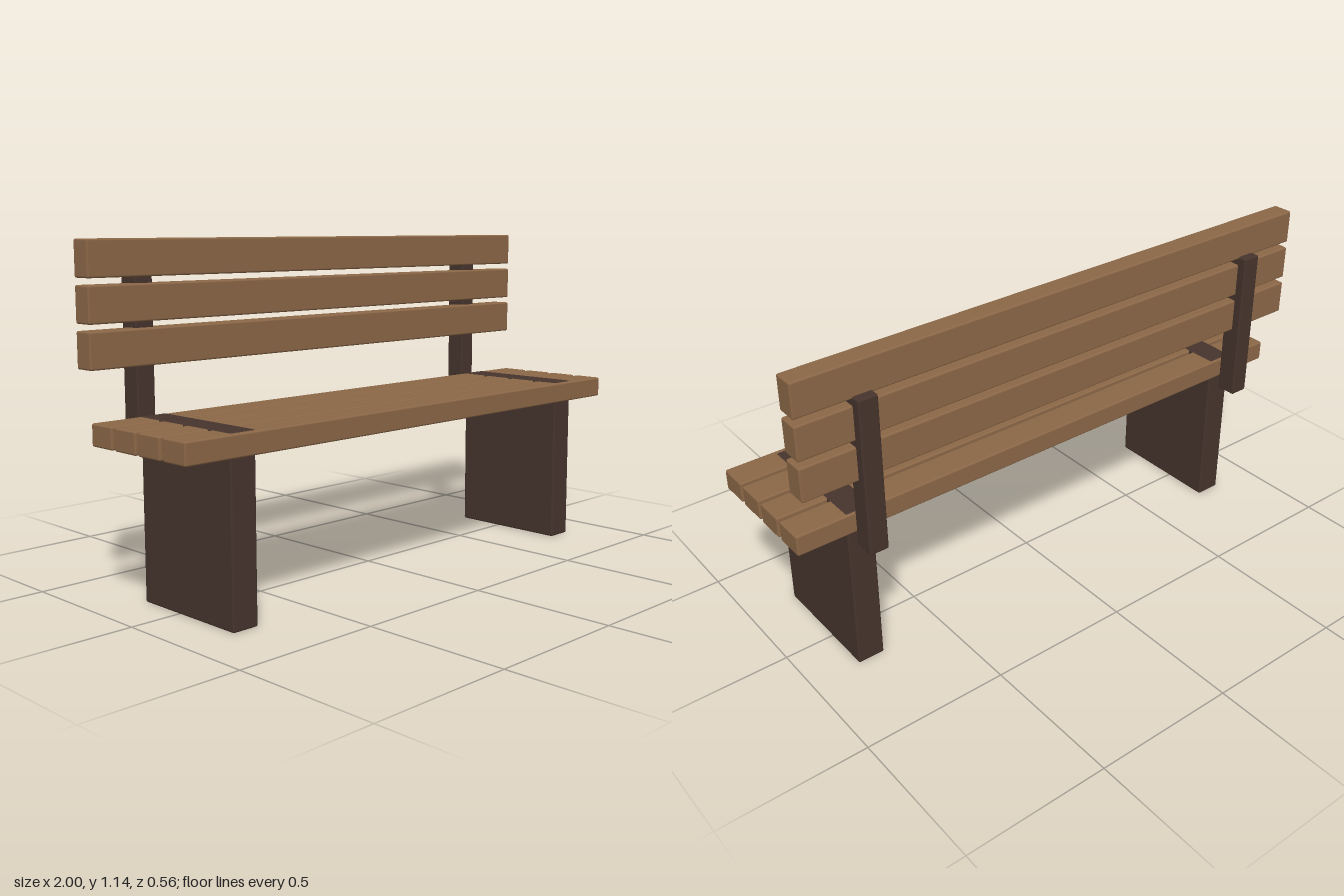
import * as THREE from 'three';
import { RoundedBoxGeometry } from 'three/addons/geometries/RoundedBoxGeometry.js';

export function createModel() {
  const bench = new THREE.Group();
  bench.name = 'bench';

  const slatWood = new THREE.MeshStandardMaterial({ color: 0x8b6747 });
  slatWood.name = 'slatWood';
  const frameWood = new THREE.MeshStandardMaterial({ color: 0x46342d });
  frameWood.name = 'frameWood';

  // Softly bevelled beam given by its size and centre
  function beam(name, material, [w, h, d], [x, y, z]) {
    const mesh = new THREE.Mesh(new RoundedBoxGeometry(w, h, d, 2, 0.006), material);
    mesh.name = name;
    mesh.position.set(x, y, z);
    bench.add(mesh);
  }

  // Four seat slats, front to back
  for (let i = 0; i < 4; i++) {
    beam(`seatSlat${i + 1}`, slatWood, [2, 0.071, 0.104], [0, 0.555, 0.228 - i * 0.1183]);
  }

  // Three backrest slats, bottom to top
  for (let i = 0; i < 3; i++) {
    beam(`backSlat${i + 1}`, slatWood, [2, 0.116, 0.073], [0, 0.805 + i * 0.1373, -0.2095]);
  }

  // Panel leg and backrest post on each side; leg tops sit just proud of the seat
  for (const [side, label] of [[1, 'left'], [-1, 'right']]) {
    beam(`${label}Leg`, frameWood, [0.094, 0.593, 0.435], [side * 0.78, 0.2965, 0.0455]);
    beam(`${label}BackPost`, frameWood, [0.067, 0.537, 0.073], [side * 0.78, 0.7615, -0.2415]);
  }

  return bench;
}
